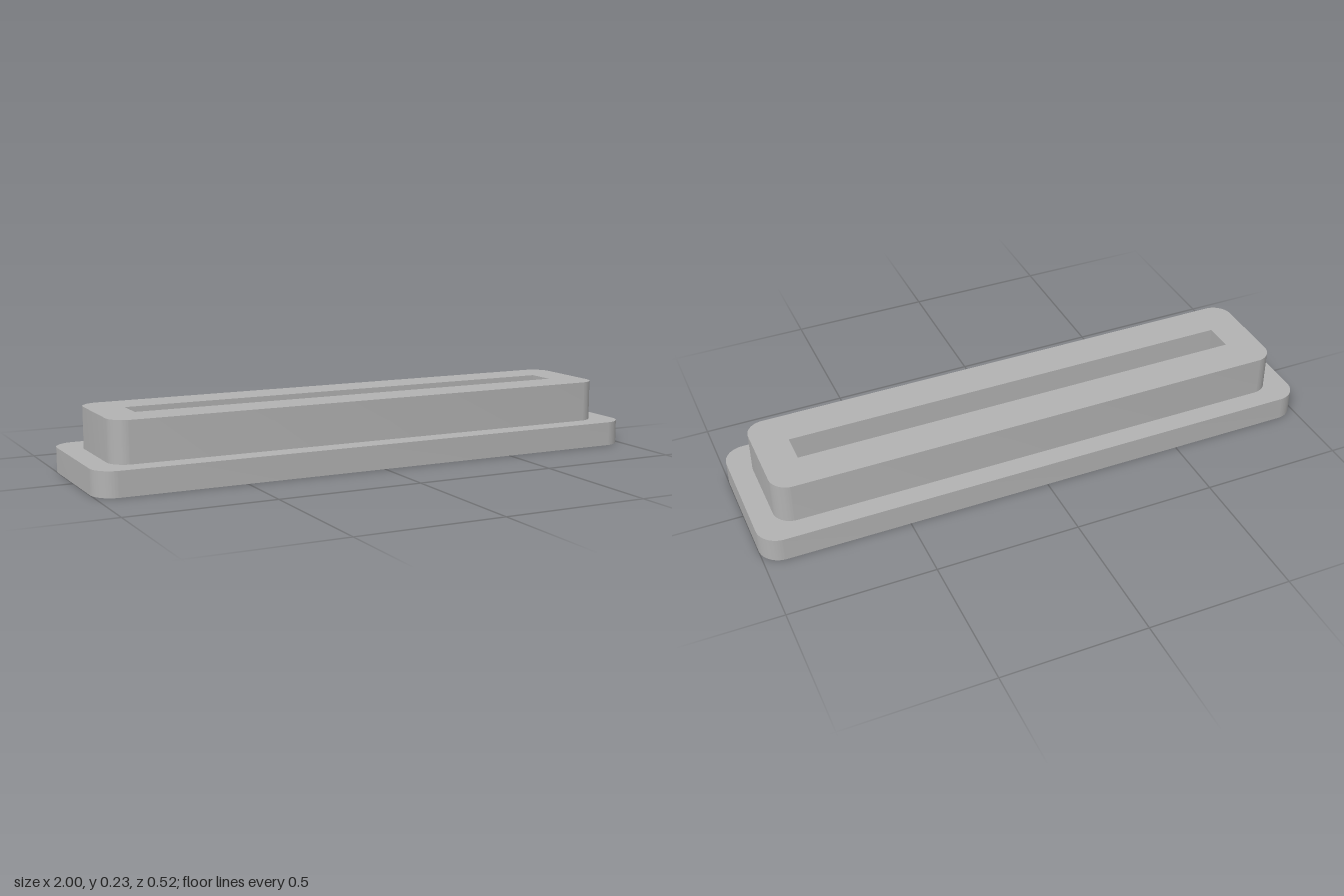
import * as THREE from 'three';
import { toCreasedNormals } from 'three/addons/utils/BufferGeometryUtils.js';

const SLOT_X = 0.805, SLOT_Z = 0.052;

// Rounded rectangle with a long slot, extruded upwards from y = 0
function slottedPlate(halfX, halfZ, radius, height) {
  const shape = new THREE.Shape();
  const cx = halfX - radius, cz = halfZ - radius;
  [[cx, cz], [-cx, cz], [-cx, -cz], [cx, -cz]].forEach(([x, z], i) => {
    shape.absarc(x, z, radius, i * Math.PI / 2, (i + 1) * Math.PI / 2, false);
  });
  shape.closePath();

  const slot = new THREE.Path();
  slot.moveTo(-SLOT_X, -SLOT_Z);
  slot.lineTo(-SLOT_X, SLOT_Z);
  slot.lineTo(SLOT_X, SLOT_Z);
  slot.lineTo(SLOT_X, -SLOT_Z);
  slot.closePath();
  shape.holes.push(slot);

  const geometry = new THREE.ExtrudeGeometry(shape, {
    depth: height, bevelEnabled: false, curveSegments: 12,
  });
  geometry.rotateX(-Math.PI / 2);
  return toCreasedNormals(geometry, Math.PI / 6);
}

export function createModel() {
  const group = new THREE.Group();
  group.name = 'slottedCover';
  const grey = new THREE.MeshStandardMaterial({ color: 0xb2b2b2 });
  grey.name = 'grey';

  // Wide flange at the bottom
  const flange = new THREE.Mesh(slottedPlate(1, 0.26, 0.075, 0.085), grey);
  flange.name = 'baseFlange';

  // Narrower raised body, its slot continuing through the flange
  const body = new THREE.Mesh(slottedPlate(0.925, 0.186, 0.065, 0.142), grey);
  body.name = 'raisedBody';
  body.position.y = 0.085;

  group.add(flange, body);
  return group;
}
